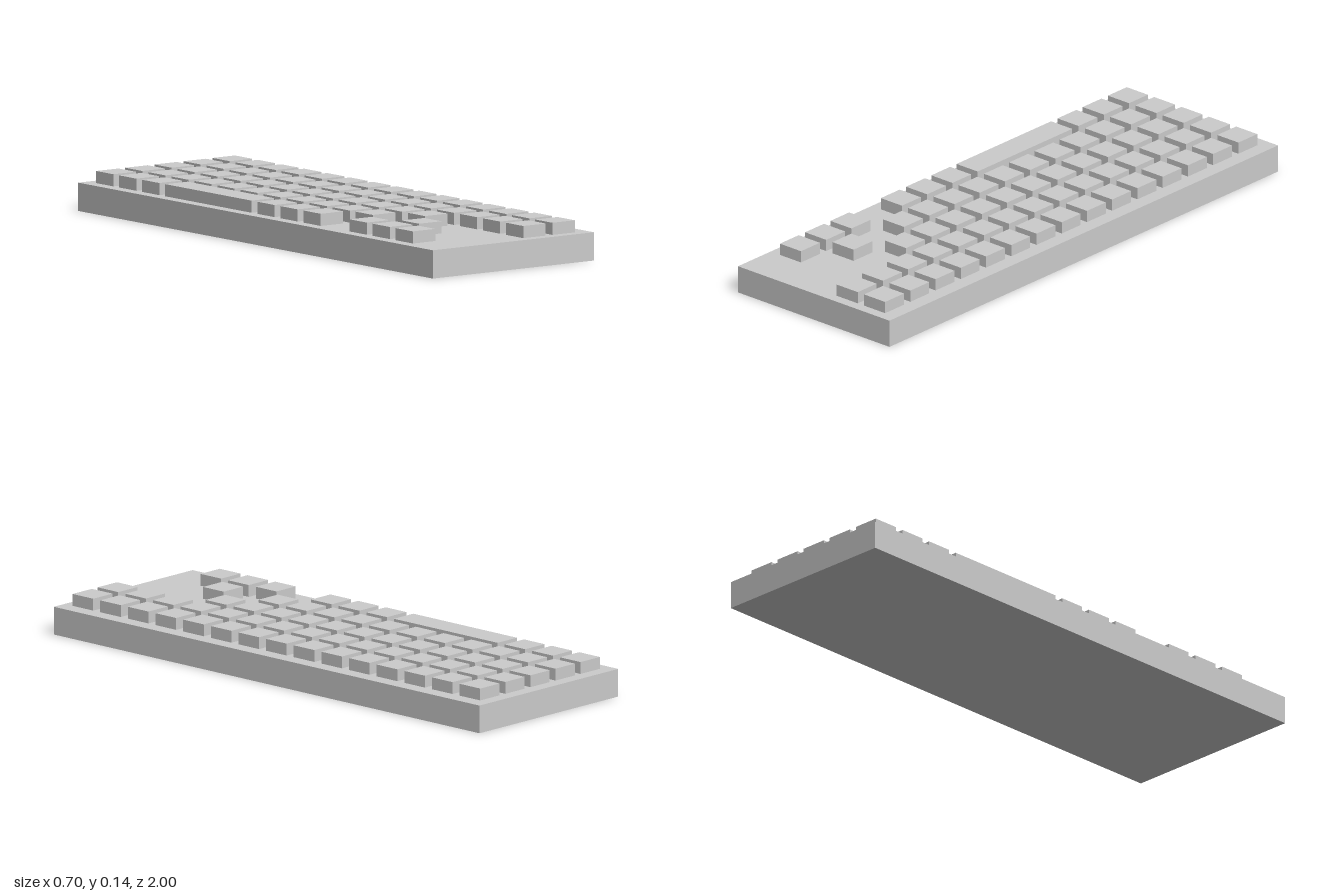
import * as THREE from 'three';

const material = new THREE.MeshStandardMaterial({ color: 0xcccccc, flatShading: true });
const BASE_TOP = 0.098, KEY_TOP = 0.14, KEY = 0.097;
const columnX = (c) => -0.257 + c * 0.1257;
const rowZ = (r) => -0.905 + r * 0.1299;

// Box resting on height y0
function box(name, w, y0, y1, d, x, z) {
  const mesh = new THREE.Mesh(new THREE.BoxGeometry(w, y1 - y0, d), material);
  mesh.name = name;
  mesh.position.set(x, (y0 + y1) / 2, z);
  return mesh;
}

export function createModel() {
  const group = new THREE.Group();
  group.name = 'keyboard';

  // Case
  group.add(box('case', 0.696, 0, BASE_TOP, 2, 0, 0));

  // Keys per column: k = key, . = gap, s = span covered by the space bar
  const columns = [
    'kkksssskkk.kkk.',
    'kkkkkkkkkkk.k..',
    'kkkkkkkkkkkk...',
    'kkkkkkkkkkkkkkk',
    'kkkkkkkkkkkkkkk',
  ];
  const keys = new THREE.Group();
  keys.name = 'keys';
  columns.forEach((column, c) => {
    [...column].forEach((cell, r) => {
      if (cell === 'k') keys.add(box('key', KEY, BASE_TOP, KEY_TOP, KEY, columnX(c), rowZ(r)));
    });
  });

  // Space bar, four keys long
  const length = rowZ(6) - rowZ(3) + KEY;
  keys.add(box('spaceBar', KEY, BASE_TOP, KEY_TOP, length, columnX(0), rowZ(4.5)));

  group.add(keys);
  return group;
}
